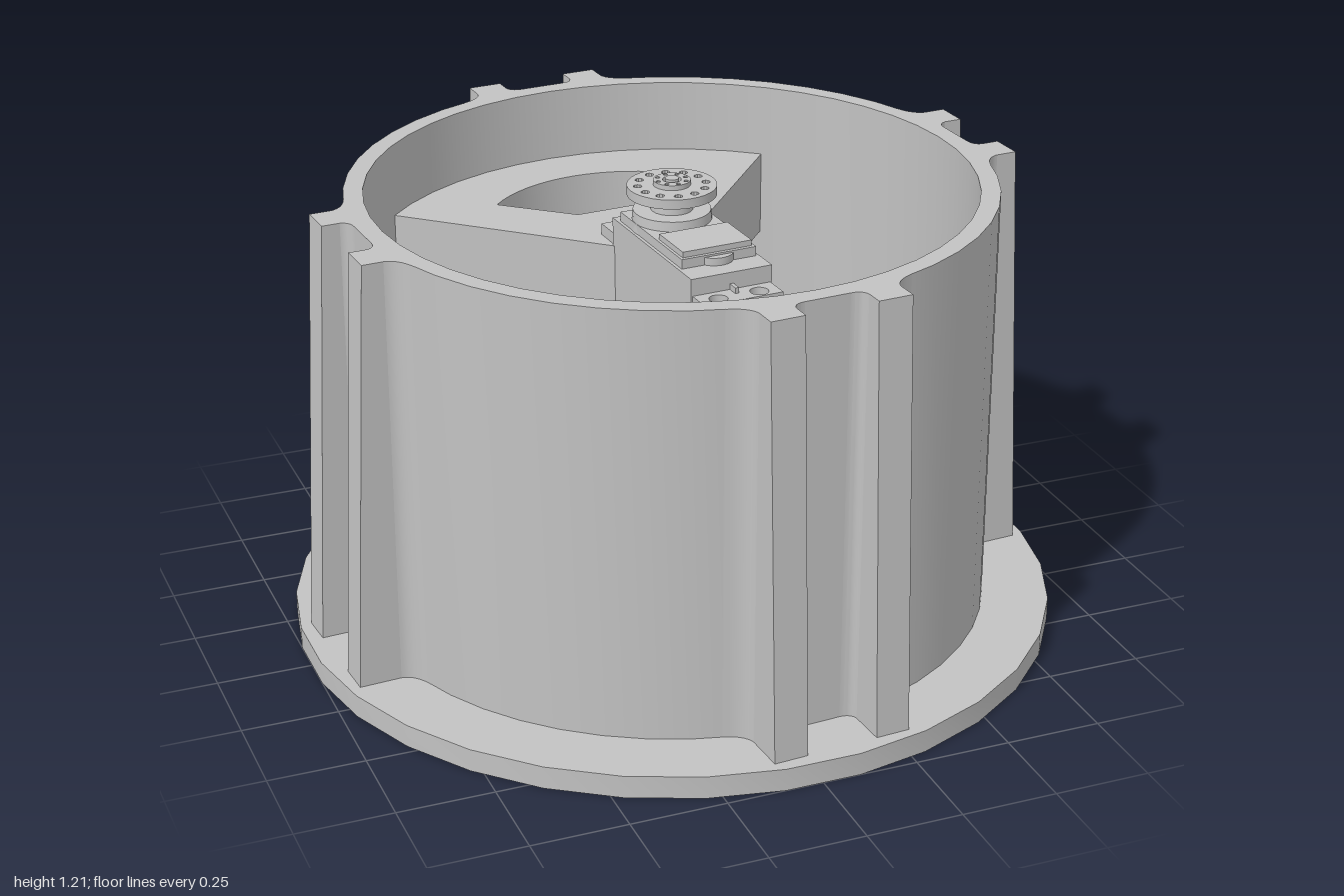
import * as THREE from 'three';
import { toCreasedNormals } from 'three/addons/utils/BufferGeometryUtils.js';

const TILT = 0.0725; // everything inside the flange is turned slightly about y

export function createModel() {
  const model = new THREE.Group();
  model.name = 'servoTurntableBase';
  const grey = new THREE.MeshStandardMaterial({ color: 0xc2c2c2 });
  grey.name = 'grey plastic';

  const add = (parent, name, geometry, x = 0, y = 0, z = 0) => {
    const mesh = new THREE.Mesh(geometry, grey);
    mesh.name = name;
    mesh.position.set(x, y, z);
    parent.add(mesh);
    return mesh;
  };
  // Points on an arc in plan, as [x, z]
  const arc = (r, a0, a1, n, cx = 0, cz = 0) =>
    Array.from({ length: n + 1 }, (_, i) => {
      const a = a0 + ((a1 - a0) * i) / n;
      return [cx + r * Math.cos(a), cz + r * Math.sin(a)];
    });
  const circle = (r, n, cx, cz, turn = 0) => arc(r, turn, turn + Math.PI * 2, n, cx, cz).slice(0, n);
  // Vertical prism from a plan outline with holes; outline runs one way, holes the other
  const prism = (outline, y0, y1, holes = []) => {
    const flat = (pts, clockwise) => {
      const v = pts.map(([x, z]) => new THREE.Vector2(x, -z));
      return THREE.ShapeUtils.isClockWise(v) === clockwise ? v : v.reverse();
    };
    const shape = new THREE.Shape(flat(outline, false));
    holes.forEach((h) => shape.holes.push(new THREE.Path(flat(h, true))));
    const g = new THREE.ExtrudeGeometry(shape, { depth: y1 - y0, bevelEnabled: false });
    g.rotateX(-Math.PI / 2).translate(0, y0, 0);
    return toCreasedNormals(g, 0.5);
  };
  // Concave corner filler between two straight faces
  const fillet = (start, corner, end, back) => {
    const v = (p) => new THREE.Vector2(p[0], p[1]);
    const curve = new THREE.QuadraticBezierCurve(v(start), v(corner), v(end));
    return [...curve.getPoints(6).map((p) => [p.x, p.y]), back];
  };

  // Flange
  add(model, 'baseFlange', prism(circle(1.005, 32, 0, 0, Math.PI / 32), 0, 0.06, [circle(0.78, 48, 0, 0)]));

  const body = new THREE.Group();
  body.name = 'body';
  body.rotation.y = TILT;
  model.add(body);

  // Round wall
  add(body, 'wall', prism(circle(0.83, 48, 0, 0), 0.05, 1.195, [circle(0.78, 48, 0, 0)]));

  // Four pairs of tapered ribs, filleted into the wall
  const ribGeometry = new THREE.BoxGeometry(0.09, 1.145, 1);
  const p = ribGeometry.attributes.position;
  for (let i = 0; i < p.count; i++) {
    const outer = p.getY(i) > 0 ? 0.902 : 0.958;
    p.setZ(i, p.getZ(i) > 0 ? outer : 0.795);
  }
  ribGeometry.computeVertexNormals();
  for (let k = 0; k < 4; k++) {
    const pair = new THREE.Group();
    pair.name = 'ribPair';
    pair.rotation.y = (k * Math.PI) / 2;
    body.add(pair);
    for (const s of [-1, 1]) {
      add(pair, 'rib', ribGeometry, s * 0.14, 0.6225, 0);
      const outside = fillet([s * 0.184, 0.855], [s * 0.184, 0.812], [s * 0.245, 0.792], [s * 0.18, 0.79]);
      const inside = fillet([s * 0.096, 0.866], [s * 0.096, 0.831], [s * 0.06, 0.831], [s * 0.1, 0.815]);
      add(pair, 'ribOuterFillet', prism(outside, 0.05, 1.195));
      add(pair, 'ribInnerFillet', prism(inside, 0.05, 1.195));
    }
    add(pair, 'ribBridge', prism([[-0.1, 0.8], [0.1, 0.8], [0.1, 0.831], [-0.1, 0.831]], 0.05, 1.195));
  }

  // Middle floor, cut off straight on one side, with two small through holes
  const cut = Math.acos(0.2185 / 0.79);
  add(body, 'floor', prism(arc(0.79, cut, Math.PI * 2 - cut, 44), 0.39, 0.45,
    [circle(0.015, 12, -0.557, -0.47), circle(0.015, 12, -0.565, 0.46)]));

  // Wedges from the back wall to the centre, with a fan-shaped opening: a thin one below, a thick one above
  const left = Math.atan2(-0.565, -0.55), right = Math.atan2(-0.565, 0.55);
  const wedge = [[0.1, -0.1], [-0.1, -0.1], ...arc(0.79, left, right, 16)];
  const fan = [[-0.105, -0.355],
    ...arc(0.386, -Math.PI / 2 - 0.774, -Math.PI / 2 + 0.774, 16, 0, -0.239), [0.105, -0.355]];
  add(body, 'lowerWedge', prism(wedge, 0, 0.06, [fan]));
  add(body, 'upperWedge', prism(wedge, 0.77, 1, [fan]));

  // Beam from the centre to the front wall
  add(body, 'beam', prism([[-0.11, -0.11], [0.11, -0.11], [0.11, 0.785], [-0.11, 0.785]], 0.77, 1));
  for (const s of [-1, 1]) {
    add(body, 'beamFillet', prism(
      fillet([s * 0.109, 0.7], [s * 0.11, 0.765], [s * 0.165, 0.764], [s * 0.109, 0.79]), 0.77, 1));
  }

  // Servo motor
  const servo = new THREE.Group();
  servo.name = 'servo';
  body.add(servo);
  const box = (name, w, y0, y1, z0, z1) =>
    add(servo, name, new THREE.BoxGeometry(w, y1 - y0, z1 - z0), 0, (y0 + y1) / 2, (z0 + z1) / 2);
  const drum = (name, r0, r1, y0, y1, n = 32, z = 0) =>
    add(servo, name, toCreasedNormals(new THREE.CylinderGeometry(r1, r0, y1 - y0, n), 0.5), 0, (y0 + y1) / 2, z);
  box('servoCase', 0.222, 0.98, 1.075, -0.12, 0.34);
  box('servoLid', 0.205, 1.07, 1.1, -0.09, 0.27);
  box('servoLabel', 0.19, 1.1, 1.115, 0.125, 0.26);
  drum('gearBump', 0.05, 0.05, 1.07, 1.095, 20, 0.24);
  drum('gearHousing', 0.105, 0.1, 1.07, 1.125);
  drum('outputShaft', 0.055, 0.05, 1.12, 1.18, 20);

  // Mounting tabs with screw holes and a middle rib
  for (const [z0, z1, hz] of [[-0.2, -0.115, -0.16], [0.335, 0.41, 0.38]]) {
    const holes = [-0.056, 0.056].map((x) => circle(0.024, 14, x, hz));
    add(servo, 'mountingTab', prism([[-0.107, z0], [0.107, z0], [0.107, z1], [-0.107, z1]], 1, 1.03, holes));
    box('tabRib', 0.01, 1.03, 1.045, z1 < 0 ? -0.15 : 0.335, z1 < 0 ? -0.115 : 0.37);
  }

  // Round horn with a ring of holes, hub and screw
  const hornHoles = Array.from({ length: 12 }, (_, i) => {
    const a = ((i + 0.5) * Math.PI) / 6;
    return circle(0.011, 10, 0.088 * Math.cos(a), 0.088 * Math.sin(a));
  });
  add(servo, 'horn', prism(circle(0.115, 36, 0, 0), 1.165, 1.19, hornHoles));
  const hubHoles = Array.from({ length: 8 }, (_, i) => {
    const a = (i * Math.PI) / 4;
    return circle(0.006, 8, 0.038 * Math.cos(a), 0.038 * Math.sin(a));
  });
  add(servo, 'hornHub', prism(circle(0.048, 24, 0, 0), 1.185, 1.203, [circle(0.024, 16, 0, 0), ...hubHoles]));
  drum('hornScrew', 0.018, 0.018, 1.18, 1.207, 16);

  return model;
}
